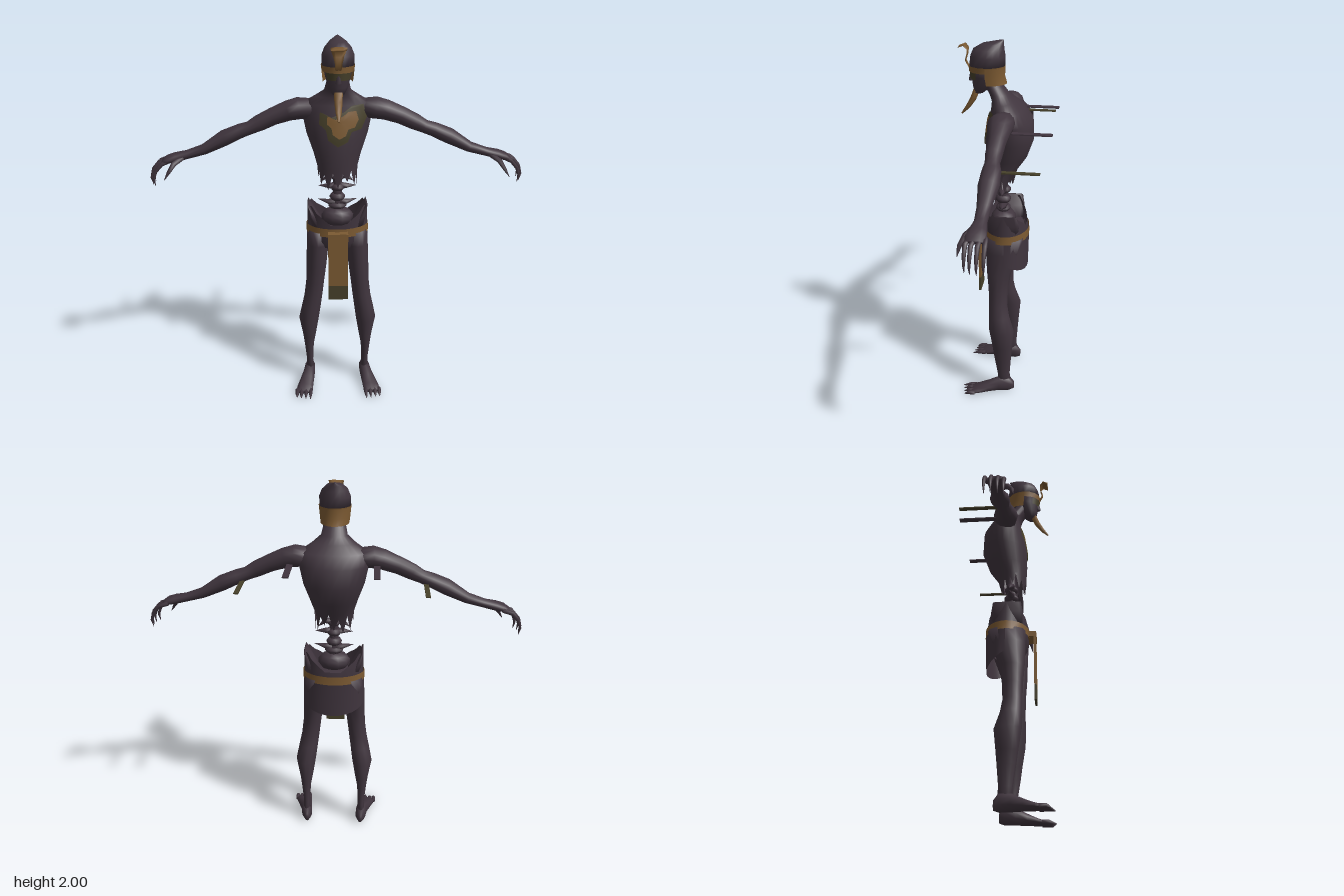
import * as THREE from 'three';

const material = (name, color) => {
  const m = new THREE.MeshStandardMaterial({ color, side: THREE.DoubleSide });
  m.name = name;
  return m;
};
const X = new THREE.Vector3(1, 0, 0), Y = new THREE.Vector3(0, 1, 0), Z = new THREE.Vector3(0, 0, 1);

// Skin elliptical rings [x, y, z, half width a, half depth b]; b lies along ref.
// axis fixes the ring plane, arc limits the sweep, hem shifts the y of one ring.
function loft(rows, { n = 10, ref = Z, axis = null, arc = null, hem = null, caps = true } = {}) {
  const pos = [], idx = [], cols = arc ? n + 1 : n;
  const pts = rows.map(r => new THREE.Vector3(r[0], r[1], r[2]));
  rows.forEach((r, i) => {
    const T = axis ? axis.clone() : pts[Math.min(i + 1, pts.length - 1)].clone().sub(pts[Math.max(i - 1, 0)]).normalize();
    const N = ref.clone().addScaledVector(T, -ref.dot(T)).normalize();
    const B = T.clone().cross(N);
    for (let j = 0; j < cols; j++) {
      const t = arc ? arc[0] + (arc[1] - arc[0]) * j / n : 2 * Math.PI * j / n;
      const p = pts[i].clone().addScaledVector(N, r[4] * Math.cos(t)).addScaledVector(B, r[3] * Math.sin(t));
      if (hem && hem.row === i) p.y += hem.f(j, t);
      pos.push(p.x, p.y, p.z);
    }
  });
  for (let i = 0; i < rows.length - 1; i++) for (let j = 0; j < n; j++) {
    const a = i * cols + j, b = i * cols + (j + 1) % cols;
    idx.push(a, b, b + cols, a, b + cols, a + cols);
  }
  if (caps && !arc) for (const i of [0, rows.length - 1]) {
    const c = pos.length / 3;
    pos.push(...pts[i].toArray());
    for (let j = 0; j < n; j++) {
      const a = i * cols + j, b = i * cols + (j + 1) % cols;
      if (i) idx.push(a, b, c); else idx.push(b, a, c);
    }
  }
  const g = new THREE.BufferGeometry();
  g.setAttribute('position', new THREE.Float32BufferAttribute(pos, 3));
  g.setIndex(idx);
  g.computeVertexNormals();
  return g;
}

function mirrored(geo) {
  const g = geo.clone().scale(-1, 1, 1), ix = g.index.array;
  for (let i = 0; i < ix.length; i += 3) [ix[i], ix[i + 1]] = [ix[i + 1], ix[i]];
  g.computeVertexNormals();
  return g;
}

export function createModel() {
  const skin = material('dark withered skin', 0x40353e);
  const gold = material('tarnished gold', 0x7c5a32);
  const olive = material('olive patina', 0x46402a);
  const model = new THREE.Group();
  const add = (name, geo, mat) => {
    const m = new THREE.Mesh(geo, mat);
    m.name = name;
    model.add(m);
    return m;
  };
  const pair = (name, geo, mat) => {
    add('left' + name, geo, mat);
    add('right' + name, mirrored(geo), mat);
  };
  const box = (name, w, h, d, x, y, z, mat) => add(name, new THREE.BoxGeometry(w, h, d).translate(x, y, z), mat);

  // Hollow torso with a torn lower edge, running up into the neck
  const torso = [
    [0, 1.275, 0.04, 0.1, 0.065], [0, 1.33, 0.03, 0.105, 0.08], [0, 1.4, 0.008, 0.125, 0.107],
    [0, 1.5, -0.01, 0.16, 0.125], [0, 1.6, -0.015, 0.18, 0.115], [0, 1.66, 0, 0.178, 0.083],
    [0, 1.7, 0.02, 0.115, 0.06], [0, 1.735, 0.045, 0.068, 0.05], [0, 1.81, 0.095, 0.05, 0.045]];
  const tear = [-0.05, 0.03, -0.015, 0.045, -0.04, 0.02, -0.06, 0.035];
  add('torso', loft(torso, { n: 24, axis: Y, caps: false, hem: { row: 0, f: j => tear[j % 8] } }), skin);

  // Broken breast plate draped over the chest
  const chestZ = (x, y) => {
    let i = 0;
    while (i < torso.length - 2 && torso[i + 1][1] < y) i++;
    const p = torso[i], q = torso[i + 1], t = (y - p[1]) / (q[1] - p[1]);
    const mix = k => p[k] + (q[k] - p[k]) * t;
    return mix(2) + mix(4) * Math.sqrt(Math.max(0, 1 - (x / mix(3)) ** 2)) + 0.006;
  };
  const edge = [[-0.09, 1.63], [-0.03, 1.605], [0.03, 1.63], [0.07, 1.66], [0.13, 1.665], [0.15, 1.6],
    [0.12, 1.54], [0.07, 1.53], [0.05, 1.48], [0, 1.455], [-0.05, 1.49], [-0.06, 1.54], [-0.095, 1.57]];
  const patch = (r0, r1) => {
    const pos = [], idx = [], n = edge.length, steps = 4;
    for (let i = 0; i <= steps; i++) for (const [ex, ey] of edge) {
      const r = r0 + (r1 - r0) * i / steps, x = 0.02 + (ex - 0.02) * r, y = 1.575 + (ey - 1.575) * r;
      pos.push(x, y, chestZ(x, y));
    }
    for (let i = 0; i < steps; i++) for (let j = 0; j < n; j++) {
      const a = i * n + j, b = i * n + (j + 1) % n;
      idx.push(a, b + n, b, a, a + n, b + n);
    }
    const g = new THREE.BufferGeometry();
    g.setAttribute('position', new THREE.Float32BufferAttribute(pos, 3));
    g.setIndex(idx);
    g.computeVertexNormals();
    return g;
  };
  add('breastPlateCentre', patch(0, 0.66), gold);
  add('breastPlateRim', patch(0.66, 1), olive);

  // Head, pointed cap, headband and chin beard
  add('head', loft([[0, 1.735, 0.145, 0.03, 0.022], [0, 1.77, 0.128, 0.05, 0.05], [0, 1.82, 0.112, 0.064, 0.072],
    [0, 1.88, 0.105, 0.077, 0.085]], { n: 16, axis: Y }), skin);
  add('nose', loft([[0, 1.795, 0.185, 0.016, 0.014], [0, 1.845, 0.182, 0.007, 0.007]], { n: 6, axis: Y }), skin);
  add('cap', loft([[0, 1.865, 0.105, 0.08, 0.09], [0, 1.92, 0.1, 0.08, 0.088], [0, 1.955, 0.095, 0.066, 0.077],
    [0, 1.98, 0.075, 0.042, 0.055], [0, 2, 0.027, 0.006, 0.008]], { n: 16, axis: Y }), skin);
  add('browBand', loft([[0, 1.845, 0.107, 0.079, 0.089], [0, 1.875, 0.105, 0.084, 0.093]], { n: 16, axis: Y, caps: false }), gold);
  add('neckGuard', loft([[0, 1.785, 0.1, 0.074, 0.095], [0, 1.82, 0.105, 0.078, 0.09], [0, 1.87, 0.105, 0.083, 0.092]],
    { n: 14, axis: Y, arc: [Math.PI * 0.5, Math.PI * 1.5] }), gold);
  add('faceMask', loft([[0, 1.808, 0.114, 0.065, 0.074], [0, 1.845, 0.11, 0.073, 0.082]],
    { n: 10, axis: Y, arc: [-1, 1] }), olive);
  add('beard', loft([[0, 1.745, 0.16, 0.022, 0.016], [0, 1.7, 0.178, 0.02, 0.015], [0, 1.655, 0.207, 0.015, 0.011],
    [0, 1.62, 0.238, 0.005, 0.004]], { n: 8 }), gold);
  add('capCrest', loft([[0, 1.86, 0.193, 0.003, 0.016], [0, 1.895, 0.212, 0.003, 0.018], [0, 1.925, 0.203, 0.003, 0.025],
    [0, 1.952, 0.2, 0.003, 0.035], [0, 1.972, 0.217, 0.003, 0.04], [0, 1.962, 0.243, 0.003, 0.038]], { n: 6, ref: X }), gold);

  // Arms, clawed fingers and thumbs
  pair('Arm', loft([[0.12, 1.63, 0, 0.055, 0.05], [0.2, 1.632, 0.01, 0.068, 0.057], [0.25, 1.62, 0.01, 0.058, 0.053],
    [0.33, 1.59, 0.01, 0.045, 0.046], [0.4, 1.557, 0.013, 0.042, 0.043], [0.45, 1.532, 0.013, 0.036, 0.035],
    [0.5, 1.515, 0.01, 0.046, 0.038], [0.58, 1.48, 0.01, 0.05, 0.042], [0.69, 1.42, 0.014, 0.034, 0.028],
    [0.78, 1.393, 0.015, 0.03, 0.023], [0.84, 1.38, 0.018, 0.042, 0.024], [0.88, 1.37, 0.02, 0.048, 0.02],
    [0.905, 1.36, 0.02, 0.042, 0.011]], { n: 12, ref: Y }), skin);
  [-0.026, 0.004, 0.034, 0.06].forEach((z, i) => {
    const k = [0.005, 0, 0.005, 0.02][i];
    pair('Finger' + (i + 1), loft([[0.875, 1.368, z * 0.8, 0.013, 0.012], [0.93 - k, 1.352, z, 0.011, 0.011],
      [0.962 - k, 1.315, z, 0.01, 0.009], [0.975 - k, 1.275, z, 0.007, 0.006], [0.968 - k, 1.237, z, 0.001, 0.001]],
    { n: 6 }), skin);
  });
  pair('Thumb', loft([[0.79, 1.388, 0.025, 0.016, 0.014], [0.845, 1.358, 0.07, 0.016, 0.014],
    [0.87, 1.32, 0.093, 0.011, 0.01], [0.895, 1.28, 0.1, 0.001, 0.001]], { n: 6, ref: Y }), skin);

  // Flat strips trailing behind the shoulders and elbows
  for (const s of [1, -1]) {
    const side = s > 0 ? 'left' : 'right';
    box(side + 'ShoulderStrip', 0.032, 0.006, 0.25, s * 0.222, 1.6, -0.12, skin);
    box(side + 'ElbowStrip', 0.024, 0.006, 0.21, s * 0.474, 1.5, -0.105, olive);
  }

  // Exposed spine with bony spurs
  add('spine', loft([[0, 0.97, 0.01, 0.05, 0.04], [0, 1.15, 0.028, 0.024, 0.025], [0, 1.36, 0.02, 0.024, 0.025]], { n: 8 }), skin);
  [[1.04, 0.088, 0.055, 0.07], [1.105, 0.05, 0.022, 0.04], [1.155, 0.042, 0.026, 0.042],
    [1.21, 0.04, 0.024, 0.042], [1.265, 0.036, 0.022, 0.038]].forEach(([y, rx, ry, rz], i) =>
    add('vertebra' + (i + 1), new THREE.SphereGeometry(1, 10, 7).scale(rx, ry, rz).translate(0, y, 0.025), skin));
  [[1.125, 0.105, 0.015], [1.215, 0.1, 0.0], [1.27, 0.085, -0.03]].forEach(([y, x, dy], i) =>
    pair('SpineSpur' + (i + 1), loft([[0.01, y, 0.025, 0.026, 0.022], [0.05, y, 0.025, 0.02, 0.014],
      [x, y + dy, 0.02, 0.001, 0.001]], { n: 6, ref: Y }), skin));

  // Broken hip bowl with raised side blades
  add('hips', loft([[0, 0.875, 0.01, 0.12, 0.085], [0, 0.92, 0.006, 0.162, 0.112], [0, 0.98, 0.004, 0.162, 0.115],
    [0, 1.025, 0.008, 0.16, 0.112]], { n: 24, axis: Y, caps: false,
    hem: { row: 3, f: (j, t) => 0.09 * Math.min(1, 1.5 * Math.abs(Math.sin(t)) ** 2.2) - (j % 2) * 0.008 } }), skin);
  add('hipFloor', loft([[0, 0.99, 0.005, 0.155, 0.108], [0, 1.005, 0.005, 0.13, 0.09]], { n: 20, axis: Y }), skin);
  pair('HipBlade', loft([[0.11, 1.0, 0.01, 0.04, 0.08], [0.135, 1.06, 0.01, 0.022, 0.085],
    [0.155, 1.115, 0.012, 0.005, 0.075]], { n: 10, axis: Y }), skin);

  // Belt, front cloth and rear skirt
  add('belt', loft([[0, 0.955, 0.005, 0.168, 0.121], [0, 1.002, 0.005, 0.166, 0.12]], { n: 24, axis: Y, caps: false }), gold);
  box('clothFold', 0.106, 0.03, 0.045, 0, 0.972, 0.138, gold);
  box('frontCloth', 0.106, 0.305, 0.012, 0, 0.835, 0.152, gold);
  box('frontClothHem', 0.106, 0.083, 0.012, 0, 0.6415, 0.152, olive);
  add('rearSkirt', loft([[0, 0.83, 0, 0.168, 0.11], [0, 0.96, 0.003, 0.166, 0.118]], { n: 14, axis: Y,
    arc: [Math.PI * 0.5, Math.PI * 1.5], hem: { row: 0, f: (j, t) => 0.065 * Math.cos(t) } }), skin);

  // Legs, feet and clawed toes
  pair('Leg', loft([[0.16, 0.04, -0.003, 0.024, 0.036], [0.16, 0.12, 0.005, 0.018, 0.035], [0.163, 0.23, 0.01, 0.026, 0.048],
    [0.161, 0.3, 0.012, 0.037, 0.056], [0.162, 0.41, 0.016, 0.056, 0.07], [0.147, 0.5, 0.032, 0.053, 0.057],
    [0.135, 0.57, 0.038, 0.05, 0.051], [0.124, 0.66, 0.038, 0.05, 0.054], [0.116, 0.76, 0.035, 0.055, 0.066],
    [0.107, 0.89, 0.015, 0.06, 0.092], [0.1, 0.97, 0.005, 0.062, 0.1]], { n: 12, axis: Y }), skin);
  pair('Foot', loft([[0.157, 0.035, -0.054, 0.012, 0.024], [0.16, 0.048, -0.025, 0.03, 0.048], [0.165, 0.045, 0.03, 0.033, 0.045],
    [0.178, 0.031, 0.09, 0.04, 0.031], [0.19, 0.019, 0.145, 0.047, 0.019], [0.196, 0.013, 0.185, 0.047, 0.011]],
  { n: 10, ref: Y, axis: Z }), skin);
  [0.158, 0.184, 0.21, 0.234].forEach((x, i) =>
    pair('Toe' + (i + 1), loft([[x, 0.014, 0.165, 0.013, 0.013], [x + 0.001, 0.014, 0.2, 0.011, 0.012],
      [x + 0.002, 0.004, 0.24 - i * 0.006, 0.002, 0.003]], { n: 6, ref: Y }), skin));

  return model;
}
